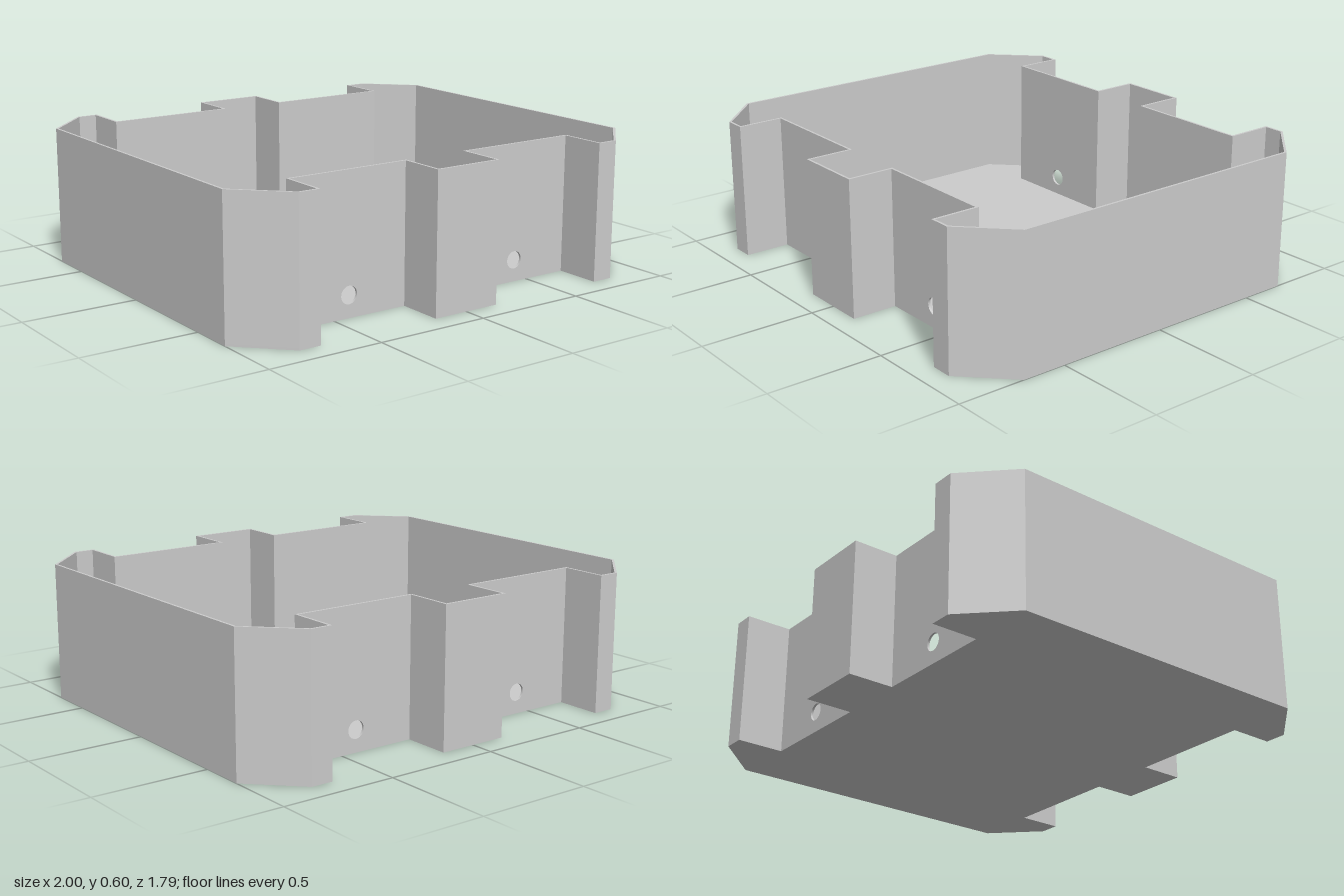
import * as THREE from 'three';

const HEIGHT = 0.6, T = 0.01; // wall height, sheet thickness
const HOLE = { x: 0.43, y: 0.095, r: 0.038 };

// Outline as [x, depth] with depth pointing to the back, counter-clockwise.
// Front half runs left to right; the back half is its mirror.
const half = [
  [-1, -0.697], [-0.8, -0.897], [-0.705, -0.897], [-0.705, -0.695], [-0.156, -0.695], [-0.156, -0.897],
  [0.156, -0.897], [0.156, -0.695], [0.705, -0.695], [0.705, -0.897], [0.8, -0.897], [1, -0.697],
];
const back = half.map(([x, d]) => [x, -d]).reverse();
back[3][1] = back[4][1] = 0.688; // this back recess is slightly shallower
const outline = [...half, ...back].map(([x, d]) => new THREE.Vector2(x, d));

// One upright wall panel, mitred at both ends where it meets its neighbours
function wallPanel(length, mitreStart, mitreEnd, holeAt) {
  const shape = new THREE.Shape();
  shape.moveTo(0, T).lineTo(length, T).lineTo(length, HEIGHT).lineTo(0, HEIGHT).closePath();
  if (holeAt !== null) {
    shape.holes.push(new THREE.Path().absarc(holeAt, HOLE.y, HOLE.r, 0, Math.PI * 2, true));
  }
  const geo = new THREE.ExtrudeGeometry(shape, { depth: T, bevelEnabled: false, curveSegments: 24 });
  geo.translate(0, 0, -T);
  const p = geo.attributes.position;
  for (let i = 0; i < p.count; i++) {
    if (p.getZ(i) > -T / 2) continue; // only the inner side is shifted
    const s = p.getX(i);
    if (s < 1e-5) p.setX(i, s + mitreStart);
    else if (s > length - 1e-5) p.setX(i, s - mitreEnd);
  }
  geo.computeVertexNormals();
  return geo;
}

export function createModel() {
  const group = new THREE.Group();
  group.name = 'openTray';
  const material = new THREE.MeshStandardMaterial({ color: 0xcccccc, flatShading: true });

  // Floor plate
  const floorGeo = new THREE.ExtrudeGeometry(new THREE.Shape(outline), { depth: T, bevelEnabled: false });
  floorGeo.rotateX(-Math.PI / 2);
  const floor = new THREE.Mesh(floorGeo, material);
  floor.name = 'floor';
  group.add(floor);

  // Walls along every edge of the outline
  const walls = new THREE.Group();
  walls.name = 'walls';
  const n = outline.length;
  const edges = outline.map((a, i) => outline[(i + 1) % n].clone().sub(a));
  const mitre = (i) => {
    const e = edges[(i + n - 1) % n], f = edges[i % n];
    return T * Math.tan(Math.atan2(e.cross(f), e.dot(f)) / 2);
  };
  outline.forEach((a, i) => {
    const length = edges[i].length();
    const isRecess = Math.abs(a.y) < 0.696 && length > 0.5 && Math.abs(edges[i].y) < 1e-6;
    const holeX = Math.sign(a.x) * HOLE.x;
    const wall = new THREE.Mesh(
      wallPanel(length, mitre(i), mitre(i + 1), isRecess ? Math.abs(holeX - a.x) : null), material);
    wall.name = isRecess ? 'recessWallWithHole' : 'wall';
    wall.position.set(a.x, 0, -a.y);
    wall.rotation.y = edges[i].angle();
    walls.add(wall);
  });
  group.add(walls);
  return group;
}
